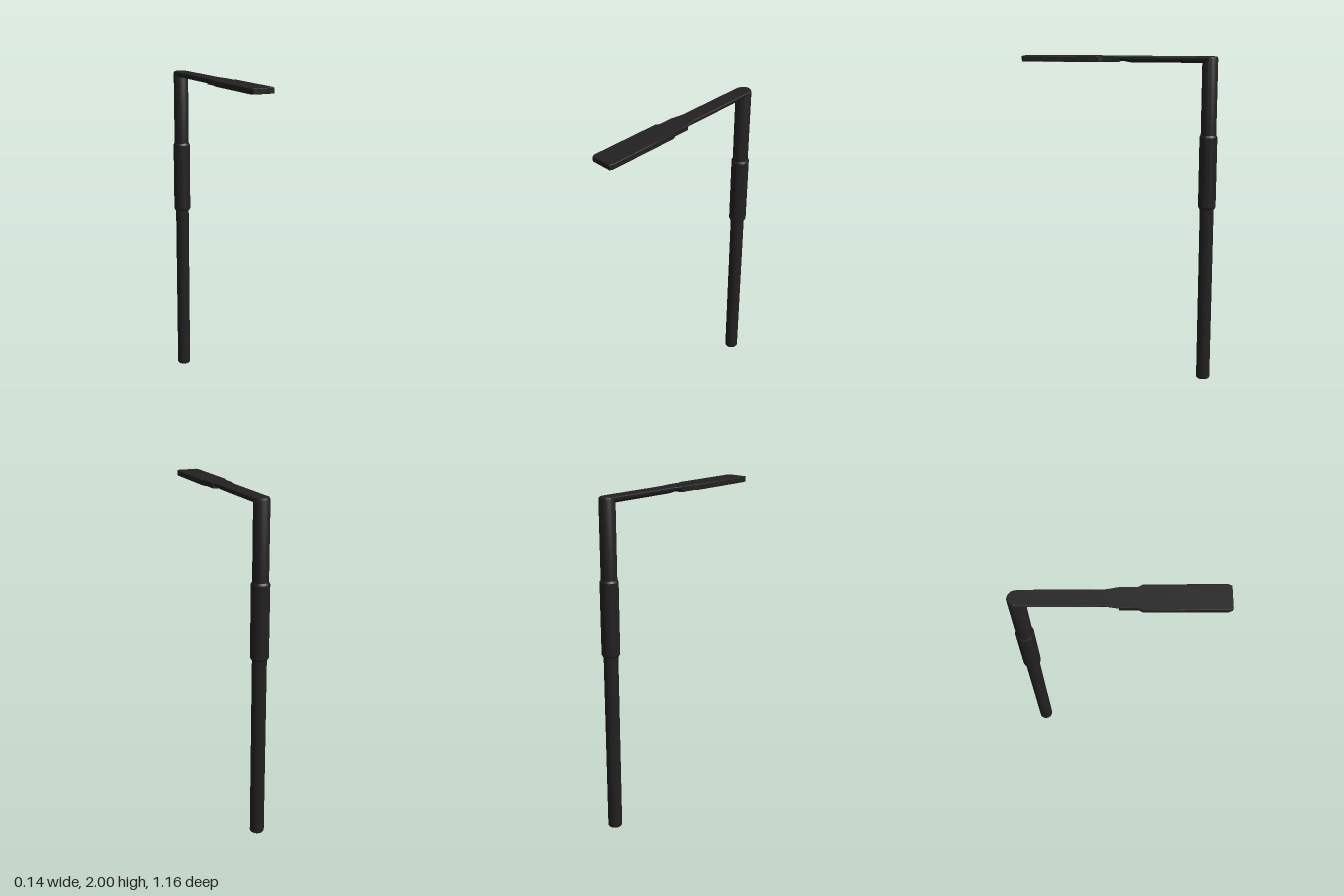
import * as THREE from 'three';
import { toCreasedNormals } from 'three/addons/utils/BufferGeometryUtils.js';

const POLE_Z = -0.525;
const v2 = (x, y) => new THREE.Vector2(x, y);

export function createModel() {
  const model = new THREE.Group();
  const dark = new THREE.MeshStandardMaterial({ color: 0x222021 });
  const lens = new THREE.MeshStandardMaterial({ color: 0xb4b4b4 });

  const add = (name, geometry, material = dark) => {
    const mesh = new THREE.Mesh(toCreasedNormals(geometry, 0.5), material);
    mesh.name = name;
    model.add(mesh);
    return mesh;
  };

  // Turned pole pieces, each profile running from bottom to top
  const turned = (name, profile) => {
    const points = profile.map(([r, y]) => v2(r, y));
    add(name, new THREE.LatheGeometry(points, 40)).position.z = POLE_Z;
  };
  turned('lowerPole', [[0, 0], [0.038, 0], [0.042, 0.006], [0.042, 1.12], [0, 1.12]]);
  turned('poleSleeve', [[0, 1.095], [0.046, 1.095], [0.053, 1.107], [0.053, 1.53], [0.046, 1.542], [0, 1.542]]);
  turned('upperPole', [[0, 1.52], [0.046, 1.52], [0.046, 1.988], [0.043, 1.996], [0.038, 2], [0, 2]]);

  // Arm: flat on top, rounded below, flaring into the neck of the lamp
  const sections = [[POLE_Z, 0.046, 0.037], [-0.065, 0.047, 0.037], [-0.045, 0.05, 0.034],
    [-0.02, 0.055, 0.029], [0.005, 0.059, 0.027]];
  const STEPS = 16;
  const positions = [], index = [];
  sections.forEach(([z, w, d]) => {
    for (let i = 0; i <= STEPS; i++) {
      const a = (i / STEPS) * Math.PI;
      positions.push(-w * Math.cos(a), 1.996 - (d - 0.004) * Math.pow(Math.sin(a), 0.7), z);
    }
    positions.push(w - 0.004, 2, z, -w + 0.004, 2, z);
  });
  const ring = STEPS + 3;
  for (let s = 0; s < sections.length - 1; s++) {
    for (let i = 0; i < ring; i++) {
      const a = s * ring + i, b = s * ring + (i + 1) % ring;
      index.push(a, b, b + ring, a, b + ring, a + ring);
    }
  }
  // End caps
  const last = (sections.length - 1) * ring;
  for (let i = 1; i < ring - 1; i++) {
    index.push(0, i + 1, i, last, last + i, last + i + 1);
  }
  const arm = new THREE.BufferGeometry();
  arm.setAttribute('position', new THREE.Float32BufferAttribute(positions, 3));
  arm.setIndex(index);
  add('arm', arm);

  // Lamp head: stepped outline with clipped front corners
  const half = [[0.059, 0], [0.059, 0.1], [0.072, 0.123], [0.072, 0.557], [0.063, 0.578]];
  const outline = [...half, ...half.map(([x, z]) => [-x, z]).reverse()];
  const bevel = 0.002;
  const head = new THREE.ExtrudeGeometry(new THREE.Shape(outline.map(([x, z]) => v2(x, z))), {
    depth: 0.032 - 2 * bevel, bevelThickness: bevel, bevelSize: bevel, bevelOffset: -bevel, bevelSegments: 1,
  });
  head.rotateX(Math.PI / 2);
  add('lampHead', head).position.y = 2 - bevel;

  // Light panel on the underside
  add('lightPanel', new THREE.BoxGeometry(0.116, 0.004, 0.4)).position.set(0, 1.9685, 0.335);

  model.getObjectByName('lightPanel').material = lens;
  return model;
}
